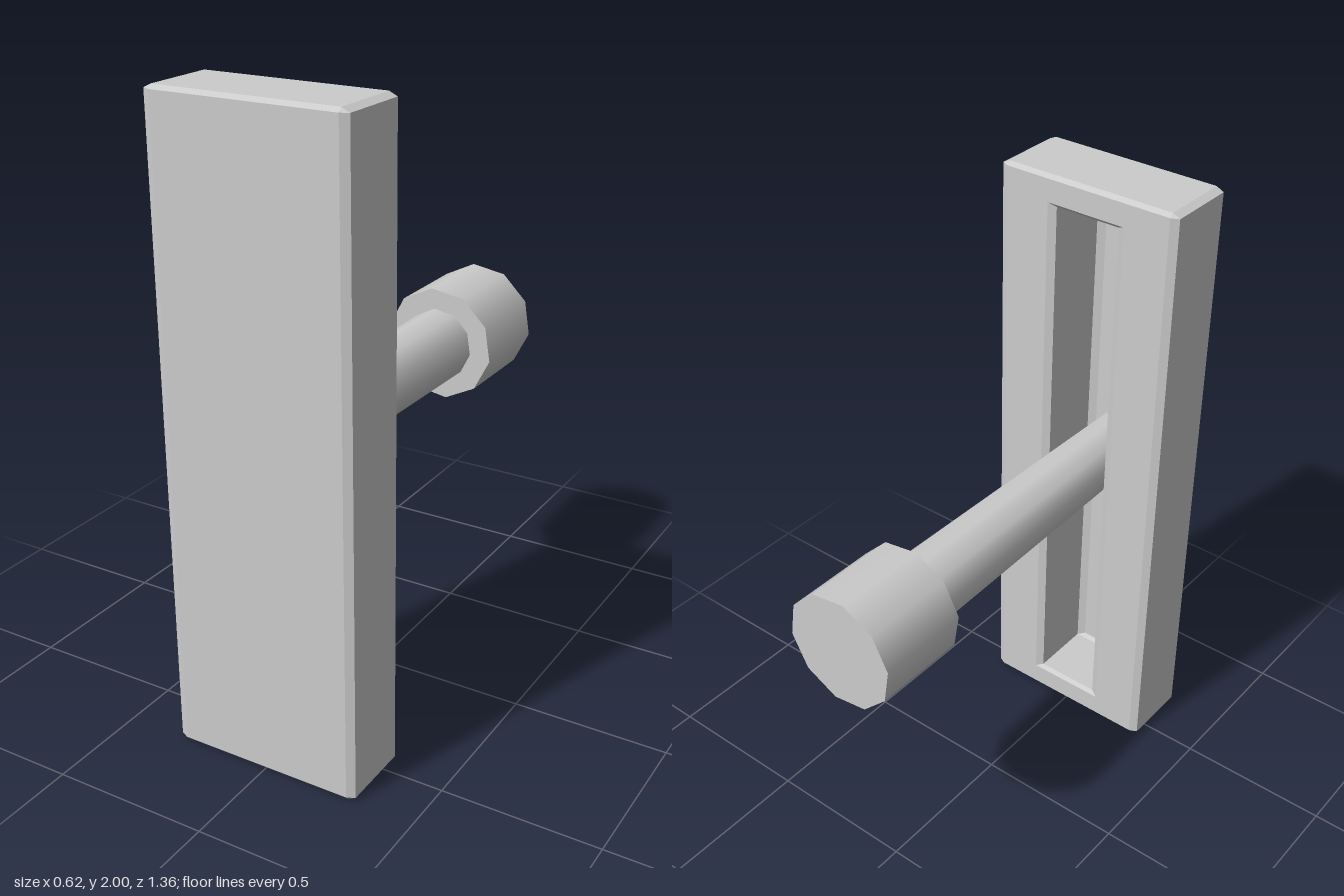
import * as THREE from 'three';

const gray = new THREE.MeshStandardMaterial({ color: 0xcccccc });
gray.name = 'plain gray';

// Rectangular ring at depth z, counter-clockwise from the front; cut chamfers its corners
function ring(hx, hy, z, cut = false) {
  const cx = cut ? 0.025 : 0, cy = cut ? 0.012 : 0;
  return [
    [hx, -hy + cy], [hx, hy - cy], [hx - cx, hy], [-hx + cx, hy],
    [-hx, hy - cy], [-hx, -hy + cy], [-hx + cx, -hy], [hx - cx, -hy],
  ].map(([x, y]) => new THREE.Vector3(x, y + 1, z));
}

// Flat-shaded skin joining successive rings, closed at both ends
function loft(rings) {
  const points = [];
  const triangle = (a, b, c) => {
    const area = b.clone().sub(a).cross(c.clone().sub(a)).length();
    if (area > 1e-8) points.push(a, b, c);
  };
  const n = rings[0].length;
  for (let r = 0; r < rings.length - 1; r++) {
    const a = rings[r], b = rings[r + 1];
    for (let i = 0; i < n; i++) {
      const j = (i + 1) % n;
      triangle(a[i], b[i], b[j]);
      triangle(a[i], b[j], a[j]);
    }
  }
  const first = rings[0], last = rings[rings.length - 1];
  for (let i = 1; i < n - 1; i++) {
    triangle(first[0], first[i], first[i + 1]);
    triangle(last[0], last[i + 1], last[i]);
  }
  const geometry = new THREE.BufferGeometry().setFromPoints(points);
  geometry.computeVertexNormals();
  return geometry;
}

// Ten-sided rod along z, standing at mid-height
function rod(radius, zBack, zFront) {
  const geometry = new THREE.CylinderGeometry(radius, radius, zFront - zBack, 10, 1, false, Math.PI / 20);
  geometry.rotateX(Math.PI / 2);
  geometry.translate(0, 1.004, (zBack + zFront) / 2);
  return geometry;
}

export function createModel() {
  const model = new THREE.Group();
  model.name = 'slottedPlateWithKnob';
  const add = (name, geometry) => {
    const mesh = new THREE.Mesh(geometry, gray);
    mesh.name = name;
    model.add(mesh);
  };

  // Chamfered plate, front to back, then into the long rear slot
  add('slottedPlate', loft([
    ring(0.285, 0.988, 0.68),
    ring(0.31, 1, 0.668, true),
    ring(0.31, 1, 0.442, true),
    ring(0.285, 0.988, 0.43),
    ring(0.135, 0.915, 0.43),
    ring(0.11, 0.903, 0.442),
    ring(0.11, 0.903, 0.655),
    ring(0.085, 0.891, 0.667),
  ]));

  // Shaft, narrowing sideways towards the plate
  const shaft = rod(0.119, -0.4, 0.66);
  const position = shaft.attributes.position;
  for (let i = 0; i < position.count; i++) {
    const t = (position.getZ(i) + 0.4) / 1.06;
    position.setX(i, position.getX(i) * THREE.MathUtils.lerp(0.98, 0.74, t));
  }
  add('shaft', shaft);

  // Wide knob at the rear end
  add('knob', rod(0.188, -0.68, -0.38));

  return model;
}
